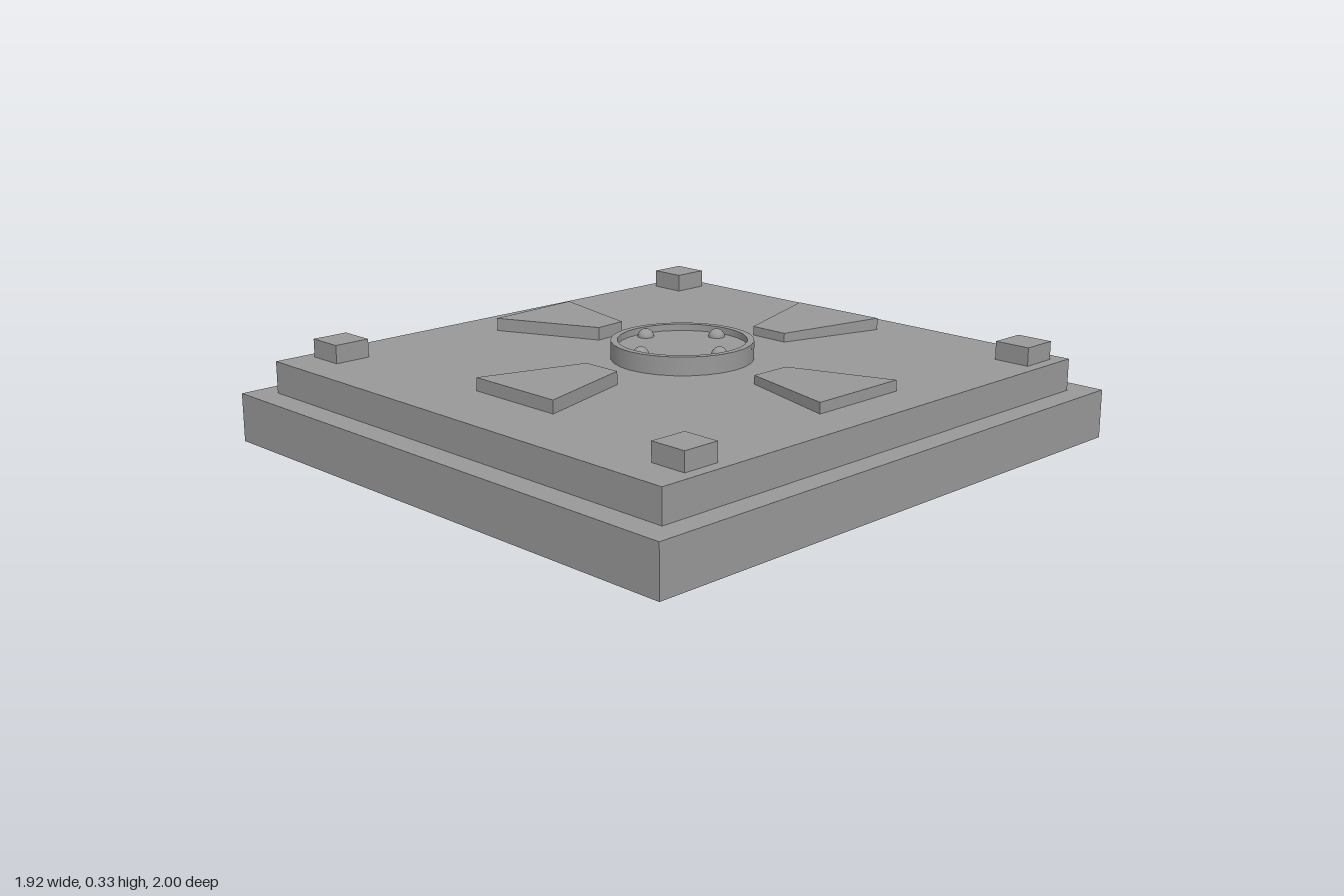
import * as THREE from 'three';

// Lofts stacked rings of [x, y, z] corners (counter-clockwise from above) and caps the top.
function loft(rings) {
  const pos = [];
  const tri = (...pts) => pts.forEach((p) => pos.push(...p));
  for (let r = 0; r + 1 < rings.length; r++) {
    const lo = rings[r], hi = rings[r + 1];
    lo.forEach((a, i) => {
      const j = (i + 1) % lo.length;
      tri(a, lo[j], hi[j]);
      tri(a, hi[j], hi[i]);
    });
  }
  const top = rings[rings.length - 1];
  for (let i = 1; i + 1 < top.length; i++) tri(top[0], top[i], top[i + 1]);
  const g = new THREE.BufferGeometry();
  g.setAttribute('position', new THREE.Float32BufferAttribute(pos, 3));
  g.computeVertexNormals();
  return g;
}

const rect = (w, d, y) => [[w, y, d], [w, y, -d], [-w, y, -d], [-w, y, d]];

export function createModel() {
  const model = new THREE.Group();
  model.name = 'steppedPlate';
  const grey = new THREE.MeshStandardMaterial({ color: 0x999999, side: THREE.DoubleSide });
  grey.name = 'stone grey';
  const add = (name, geo, x = 0, y = 0, z = 0) => {
    const mesh = new THREE.Mesh(geo, grey);
    mesh.name = name;
    mesh.position.set(x, y, z);
    model.add(mesh);
    return mesh;
  };
  const deck = 0.265;

  // Hollow two-step base, open underneath
  add('steppedBase', loft([
    rect(0.96, 1, 0), rect(0.96, 1, 0.16), rect(0.883, 0.915, 0.16), rect(0.883, 0.915, deck),
  ]));
  // Recessed ceiling inside the base
  add('innerCeiling', new THREE.PlaneGeometry(1.766, 1.83).rotateX(Math.PI / 2), 0, 0.182, 0);

  // Corner blocks
  for (const x of [-0.782, 0.782]) {
    for (const z of [-0.803, 0.733]) {
      add('cornerBlock', new THREE.BoxGeometry(0.124, 0.06, 0.124), x, deck + 0.03, z);
    }
  }

  // Tapered plates around the hub: corners as [x, z, top height]
  const plates = {
    frontPlate: [[0.195, 0.68, 0.307], [0.09, 0.33, 0.307], [-0.05, 0.33, 0.307], [-0.155, 0.68, 0.307]],
    backPlate: [[0.09, -0.43, 0.295], [0.195, -0.79, 0.305], [-0.155, -0.785, 0.305], [-0.05, -0.43, 0.295]],
    leftPlate: [[0.735, 0.135, 0.3], [0.735, -0.215, 0.3], [0.38, -0.115, 0.293], [0.38, 0.03, 0.293]],
    rightPlate: [[-0.365, -0.01, 0.308], [-0.375, -0.125, 0.308], [-0.735, -0.205, 0.308], [-0.71, 0.145, 0.308]],
  };
  for (const [name, pts] of Object.entries(plates)) {
    add(name, loft([pts.map(([x, z]) => [x, deck, z]), pts.map(([x, z, y]) => [x, y, z])]));
  }

  // Round hub: outer wall, rim, inner wall and sunken floor
  const hx = -0.006, hz = -0.046;
  const wall = (r, h, y) => new THREE.CylinderGeometry(r, r, h, 28, 1, true).translate(0, y, 0);
  add('hubOuterWall', wall(0.232, 0.06, 0.295), hx, 0, hz);
  add('hubInnerWall', wall(0.21, 0.022, 0.314), hx, 0, hz);
  add('hubRim', new THREE.RingGeometry(0.21, 0.232, 28).rotateX(-Math.PI / 2), hx, 0.325, hz);
  add('hubFloor', new THREE.CircleGeometry(0.21, 28).rotateX(-Math.PI / 2), hx, 0.303, hz);

  // Rounded studs on the hub floor
  for (const [x, z] of [[-0.016, -0.215], [-0.18, -0.05], [0.16, -0.046], [-0.016, 0.13]]) {
    add('stud', new THREE.SphereGeometry(0.027, 16, 10), x, 0.303, z);
  }
  return model;
}
